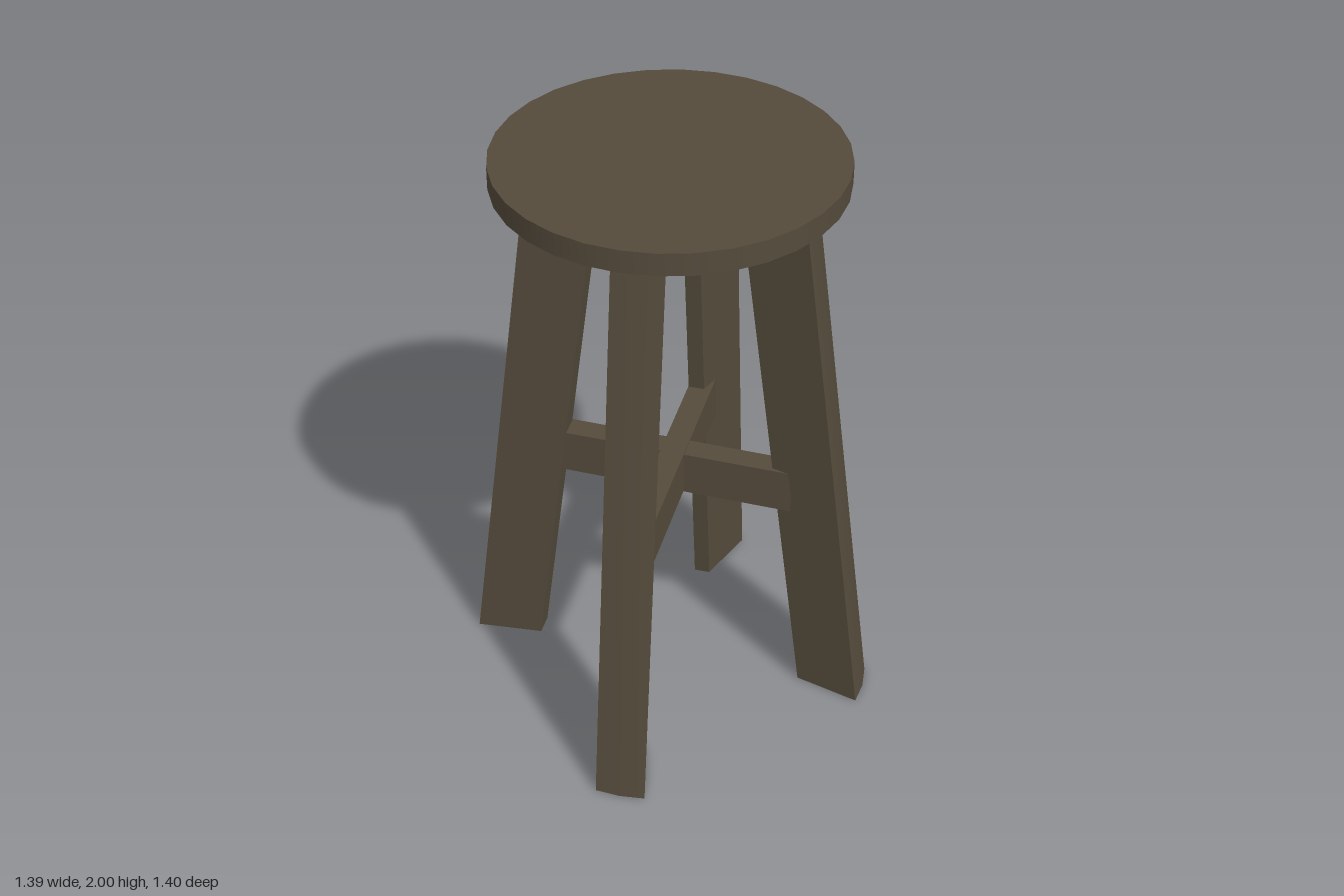
import * as THREE from 'three';
import { toCreasedNormals } from 'three/addons/utils/BufferGeometryUtils.js';

const SEAT_BOTTOM = 1.925;

export function createModel() {
  const stool = new THREE.Group();
  stool.name = 'stool';
  const wood = new THREE.MeshStandardMaterial({ color: 0x554b3c });

  const add = (name, geometry) => {
    const mesh = new THREE.Mesh(geometry, wood);
    mesh.name = name;
    stool.add(mesh);
    return mesh;
  };

  // Round seat board
  const seat = add('seat', new THREE.CylinderGeometry(0.552, 0.552, 2 - SEAT_BOTTOM, 32));
  seat.position.set(0, (2 + SEAT_BOTTOM) / 2, -0.026);

  // Wedge-shaped leg: bowed outer face, narrow inner face, sheared inwards to the seat.
  // start: sideways position of one edge; outer: foot distance at edge, middle, edge;
  // inner: foot distance of the inner face; taper: share of the width lost on each side
  const addLeg = (name, { turn, start, outer, inner, taper, lean }) => {
    const width = 0.165;
    const outline = [
      ...outer.map((r, i) => new THREE.Vector2(start + (width * i) / 2, -r)),
      new THREE.Vector2(start + width * (1 - taper[1]), -inner),
      new THREE.Vector2(start + width * taper[0], -inner),
    ];
    const geometry = new THREE.ExtrudeGeometry(new THREE.Shape(outline), {
      depth: SEAT_BOTTOM + 0.005, bevelEnabled: false,
    });
    geometry.rotateX(-Math.PI / 2);
    const p = geometry.attributes.position;
    for (let i = 0; i < p.count; i++) {
      p.setZ(i, p.getZ(i) - (lean * p.getY(i)) / SEAT_BOTTOM);
    }
    geometry.rotateY(turn);
    add(name, toCreasedNormals(geometry, Math.PI / 9));
  };
  addLeg('frontLeg', {
    turn: 0, start: -0.06, outer: [0.693, 0.698, 0.688], inner: 0.476, taper: [0.33, 0.32], lean: 0.279,
  });
  addLeg('leftLeg', {
    turn: Math.PI / 2, start: -0.055, outer: [0.683, 0.692, 0.683], inner: 0.466, taper: [0.37, 0.33], lean: 0.247,
  });
  addLeg('backLeg', {
    turn: Math.PI, start: -0.105, outer: [0.687, 0.699, 0.699], inner: 0.475, taper: [0.45, 0.22], lean: 0.238,
  });
  addLeg('rightLeg', {
    turn: -Math.PI / 2, start: -0.15, outer: [0.68, 0.695, 0.695], inner: 0.47, taper: [0.43, 0.12], lean: 0.25,
  });

  // Crossed stretchers joining opposite legs
  const addStretcher = (name, from, to) => {
    const span = new THREE.Vector3().subVectors(to, from);
    const bar = add(name, new THREE.BoxGeometry(0.08, 0.153, span.length()));
    bar.position.addVectors(from, to).multiplyScalar(0.5);
    bar.lookAt(to);
  };
  addStretcher('sideStretcher', new THREE.Vector3(-0.42, 0.829, -0.05), new THREE.Vector3(0.42, 0.822, -0.03));
  addStretcher('frontBackStretcher', new THREE.Vector3(0.015, 0.825, 0.42), new THREE.Vector3(0.015, 0.834, -0.44));

  return stool;
}
